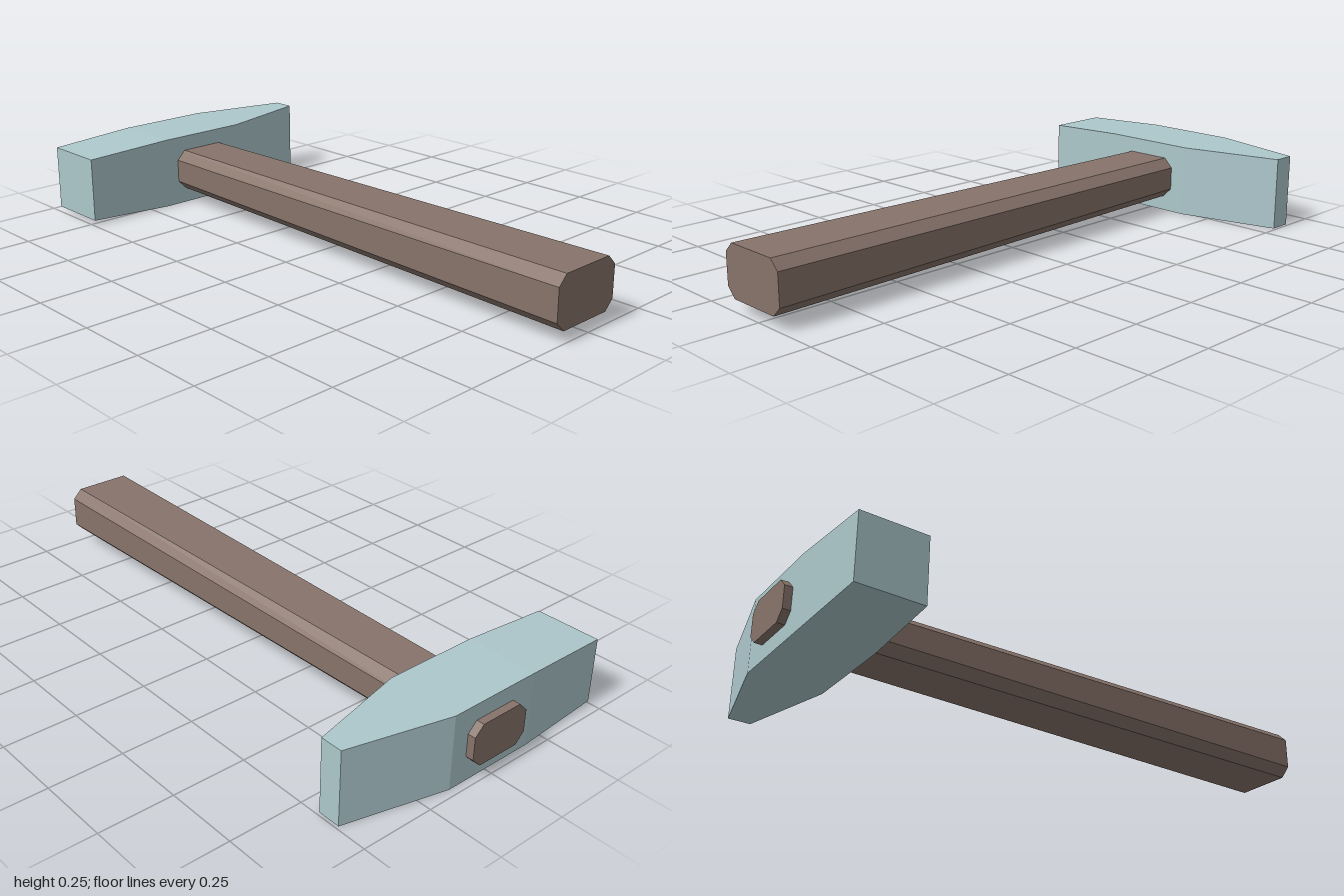
import * as THREE from 'three';

// Flat-sided solid through a series of matching rings, capped at both ends.
// Each ring runs counter-clockwise seen from the end the loft travels towards.
function loft(rings) {
  const positions = [];
  const tri = (...points) => points.forEach((p) => positions.push(...p));
  const n = rings[0].length;
  for (let i = 0; i < rings.length - 1; i++) {
    for (let j = 0; j < n; j++) {
      const k = (j + 1) % n;
      const [a, b, c, d] = [rings[i][j], rings[i][k], rings[i + 1][k], rings[i + 1][j]];
      tri(a, b, c);
      tri(a, c, d);
    }
  }
  const first = rings[0];
  const last = rings[rings.length - 1];
  for (let j = 1; j < n - 1; j++) {
    tri(first[0], first[j + 1], first[j]);
    tri(last[0], last[j], last[j + 1]);
  }
  const geometry = new THREE.BufferGeometry();
  geometry.setAttribute('position', new THREE.Float32BufferAttribute(positions, 3));
  geometry.computeVertexNormals();
  return geometry;
}

// Chamfered rectangle across the handle
function handleRing(z, halfWidth, halfHeight) {
  const cx = -0.02, cy = 0.125, chamfer = 0.032;
  const w = halfWidth - chamfer, h = halfHeight - chamfer;
  return [
    [halfWidth, -h], [halfWidth, h], [w, halfHeight], [-w, halfHeight],
    [-halfWidth, h], [-halfWidth, -h], [-w, -halfHeight], [w, -halfHeight],
  ].map(([x, y]) => [cx + x, cy + y, z]);
}

// Rectangle across the head
function headRing(x, halfHeight, halfDepth) {
  const cy = 0.125, cz = -0.852;
  return [[-1, 1], [-1, -1], [1, -1], [1, 1]]
    .map(([y, z]) => [x, cy + y * halfHeight, cz + z * halfDepth]);
}

export function createModel() {
  const wood = new THREE.MeshStandardMaterial({ color: 0x87736a });
  wood.name = 'brown wood';
  const steel = new THREE.MeshStandardMaterial({ color: 0xadc8cc });
  steel.name = 'pale steel';

  const model = new THREE.Group();
  model.name = 'hammer';

  // Handle, tapering towards the head
  const handle = new THREE.Mesh(
    loft([handleRing(-1, 0.108, 0.07), handleRing(1, 0.13, 0.085)]), wood);
  handle.name = 'handle';

  // Head: square striking face on -x, narrow upright wedge on +x
  const head = new THREE.Mesh(loft([
    headRing(-0.49, 0.111, 0.111),
    headRing(-0.18, 0.125, 0.122),
    headRing(0.147, 0.125, 0.122),
    headRing(0.49, 0.125, 0.038),
  ]), steel);
  head.name = 'head';

  model.add(handle, head);
  return model;
}
